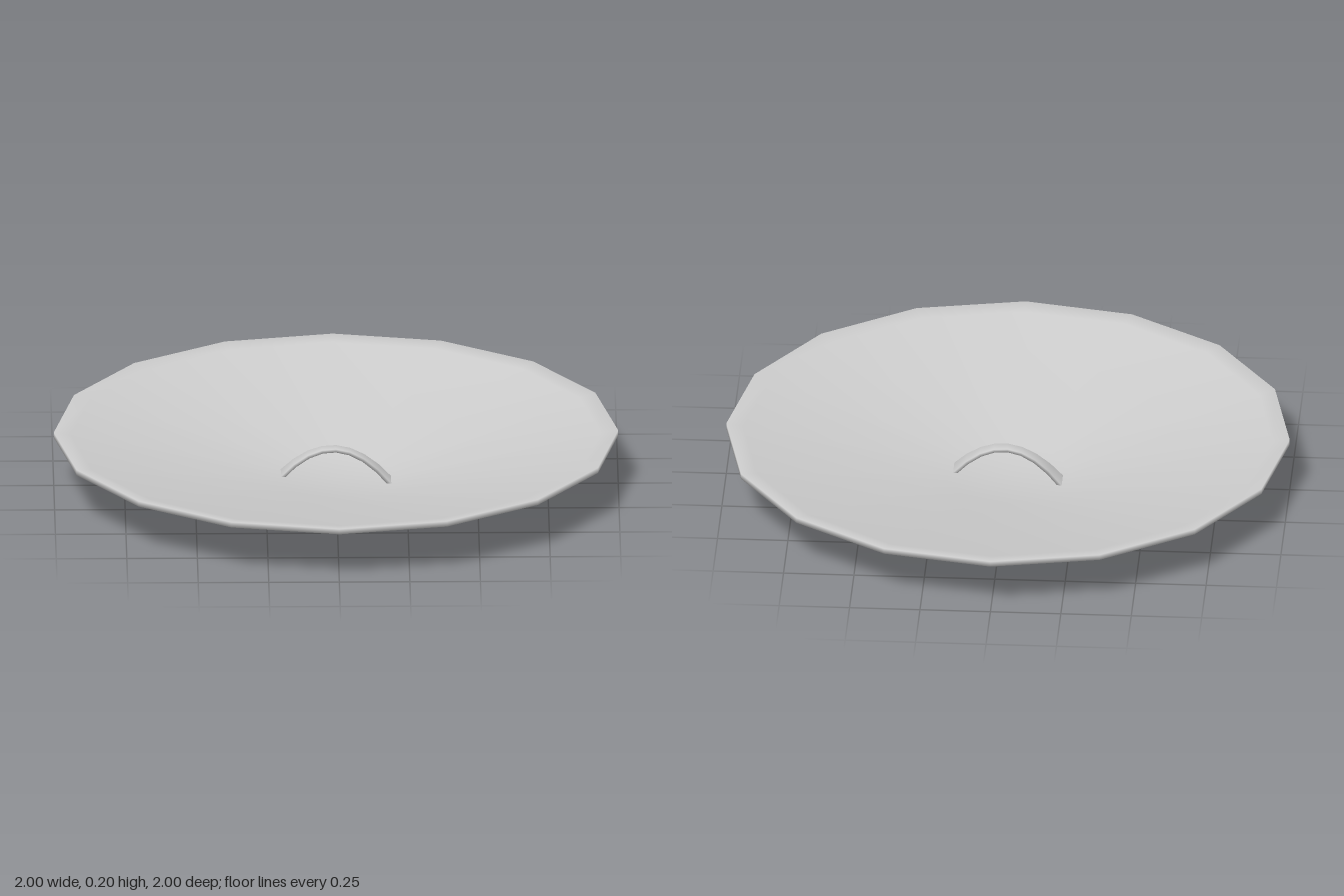
import * as THREE from 'three';

// Bridge-like handle lofted from four-cornered sections; waisted and slightly turned about y
function handleGeometry() {
  const steps = 8, thick = 0.012, pos = [], idx = [];
  for (let i = 0; i <= steps; i++) {
    const t = -1 + (2 * i) / steps;
    const x = 0.2 * t;
    const y = 0.14 - 0.115 * t * t;         // arch
    const z = 0.038 * t;                    // turn
    const w = 0.022 + 0.018 * t * t;        // half width, flaring to the feet
    const slope = -1.15 * t, len = Math.hypot(1, slope);
    const ix = (thick * slope) / len, iy = -thick / len; // inward offset
    pos.push(x, y, z - w, x, y, z + w, x + ix, y + iy, z + w, x + ix, y + iy, z - w);
  }
  for (let i = 0; i < steps; i++) {
    for (let j = 0; j < 4; j++) {
      const a = i * 4 + j, b = i * 4 + ((j + 1) % 4);
      idx.push(a, b, a + 4, b, b + 4, a + 4);
    }
  }
  const g = new THREE.BufferGeometry();
  g.setAttribute('position', new THREE.Float32BufferAttribute(pos, 3));
  g.setIndex(idx);
  g.computeVertexNormals();
  return g;
}

export function createModel() {
  const group = new THREE.Group();
  group.name = 'shallowDish';
  const grey = new THREE.MeshStandardMaterial({ color: 0xcccccc });
  grey.name = 'light grey';

  // Sixteen-sided dish: underside, rim, then the hollow inside
  const profile = [
    [0, 0], [0.25, 0], [1, 0.18], [1, 0.2], [0.94, 0.19], [0.22, 0.03], [0, 0.03],
  ].map(([r, y]) => new THREE.Vector2(r, y));
  const dish = new THREE.Mesh(new THREE.LatheGeometry(profile, 16), grey);
  dish.name = 'dish';
  group.add(dish);

  // Grip arching over the floor of the dish
  const handle = new THREE.Mesh(handleGeometry(), grey);
  handle.name = 'handle';
  group.add(handle);
  return group;
}
